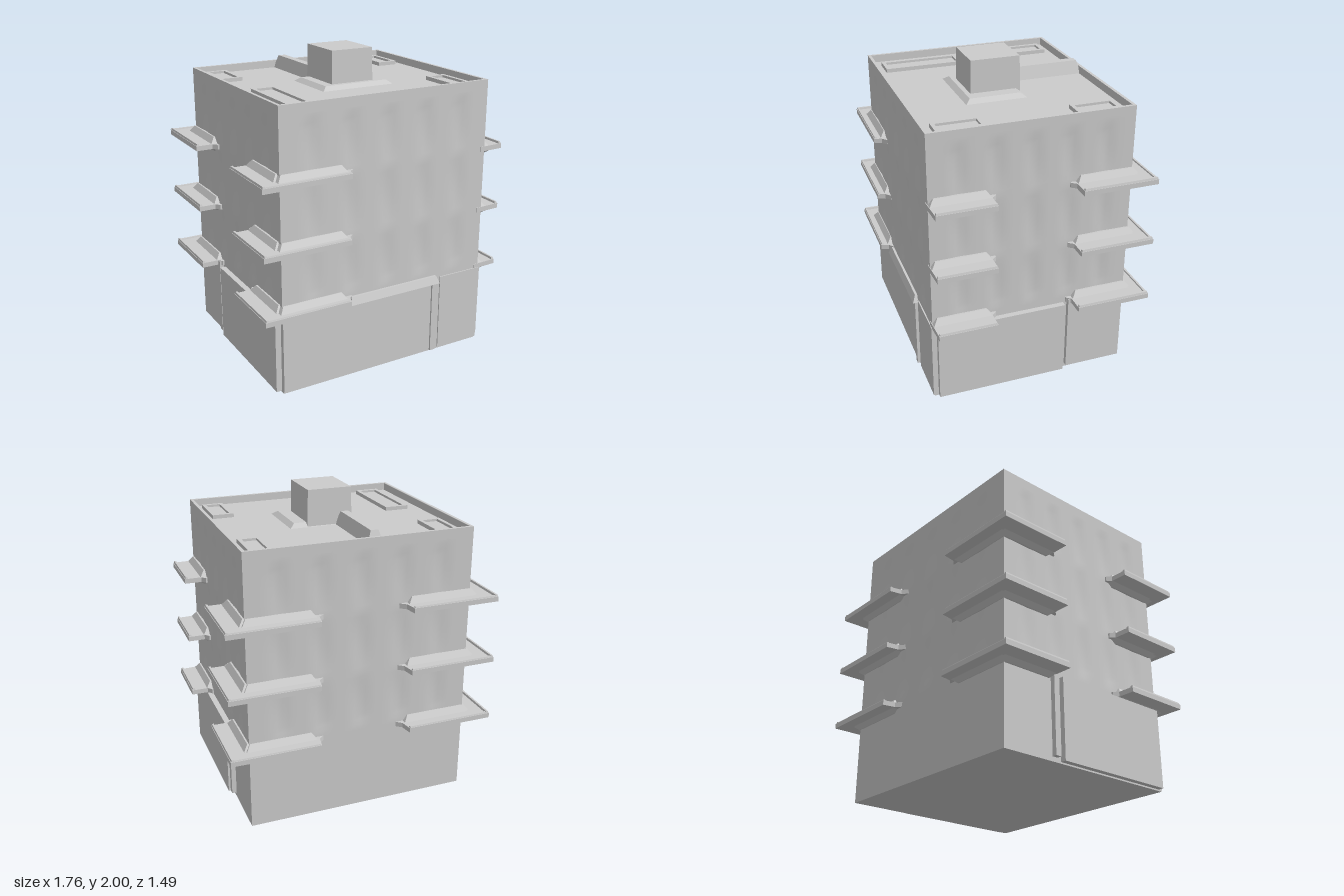
import * as THREE from 'three';

const grey = new THREE.MeshStandardMaterial({ color: 0xcccccc, side: THREE.DoubleSide });

function add(parent, name, geometry) {
  const mesh = new THREE.Mesh(geometry, grey);
  mesh.name = name;
  parent.add(mesh);
  return mesh;
}

// Box given by its extents, optionally narrowed towards the top by an inset
function block(parent, name, [x0, x1], [y0, y1], [z0, z1], inset = 0) {
  const w = x1 - x0, h = y1 - y0, d = z1 - z0;
  const g = new THREE.BoxGeometry(w, h, d);
  const p = g.attributes.position;
  for (let i = 0; i < p.count; i++) {
    if (p.getY(i) < 0) continue;
    p.setX(i, p.getX(i) - Math.sign(p.getX(i)) * inset);
    p.setZ(i, p.getZ(i) - Math.sign(p.getZ(i)) * inset);
  }
  g.computeVertexNormals();
  const mesh = add(parent, name, g);
  mesh.position.set((x0 + x1) / 2, (y0 + y1) / 2, (z0 + z1) / 2);
  return mesh;
}

// Horizontal plate from an outline of [x, z] points
function plate(parent, name, outline, y, height, hole) {
  const toV = ([x, z]) => new THREE.Vector2(x, -z);
  const shape = new THREE.Shape(outline.map(toV));
  if (hole) shape.holes.push(new THREE.Path(hole.map(toV)));
  const g = new THREE.ExtrudeGeometry(shape, { depth: height, bevelEnabled: false });
  g.rotateX(-Math.PI / 2);
  const mesh = add(parent, name, g);
  mesh.position.y = y;
  return mesh;
}

const rect = (x0, x1, z0, z1) => [[x0, z0], [x1, z0], [x1, z1], [x0, z1]];
const side = (s, a, b) => (s < 0 ? [-b, -a] : [a, b]);

// Walls with softly sunken window bays on the upper storeys
function wallGeometry() {
  const g = new THREE.BoxGeometry(1.47, 1.765, 1.295, 40, 48, 40);
  const p = g.attributes.position, n = g.attributes.normal;
  for (let i = 0; i < p.count; i++) {
    if (Math.abs(n.getY(i)) > 0.5) continue;
    const onSide = Math.abs(n.getX(i)) > 0.5;
    const u = onSide ? p.getZ(i) / 0.6475 : p.getX(i) / 0.735;
    const y = p.getY(i) + 0.8825;
    if (y < 0.6 || y > 1.7 || Math.abs(u) > 0.9) continue;
    const bay = Math.max(0, Math.cos(u * Math.PI * 5 / 0.9));
    const floor = Math.abs(Math.sin((y - 0.54) / 0.41 * Math.PI));
    const fade = Math.min(1, (0.9 - Math.abs(u)) * 6);
    const dent = -0.01 * bay * floor * fade;
    p.setX(i, p.getX(i) + n.getX(i) * dent);
    p.setZ(i, p.getZ(i) + n.getZ(i) * dent);
  }
  g.computeVertexNormals();
  g.translate(0, 0.8825, 0.0125);
  return g;
}

// L-shaped balcony around a corner, flaring where it meets the walls
function cornerOutline(sx, zOut, zIn) {
  const sz = Math.sign(zOut);
  const wall = sz > 0 ? 0.66 : -0.635;
  return [[sx * 0.88, zOut], [sx * 0.3, zOut], [sx * 0.285, wall + sz * 0.03], [sx * 0.25, wall],
    [sx * 0.25, wall - sz * 0.03], [sx * 0.7, wall - sz * 0.03], [sx * 0.7, zIn - sz * 0.03],
    [sx * 0.745, zIn - sz * 0.03], [sx * 0.77, zIn], [sx * 0.88, zIn]];
}

// Sloped fillets above and below a slab, along a wall
function fillets(parent, x, z) {
  block(parent, 'upperFillet', x, [0.03, 0.07], z, 0.03);
  block(parent, 'lowerFillet', x, [-0.025, 0], z, 0.03).rotation.x = Math.PI;
}

export function createModel() {
  const model = new THREE.Group();
  model.name = 'apartmentBuilding';

  add(model, 'walls', wallGeometry());

  // Ground floor cladding
  const ground = new THREE.Group();
  ground.name = 'groundFloor';
  model.add(ground);
  block(ground, 'frontPanel', [-0.735, 0.35], [0.01, 0.52], [0.6, 0.668]);
  block(ground, 'frontPillar', [0.42, 0.74], [0.01, 0.53], [0.6, 0.668]);
  block(ground, 'frontLintel', [-0.28, 0.4], [0.5, 0.55], [0.6, 0.695], 0.02);
  block(ground, 'frontJamb', [0.35, 0.39], [0.01, 0.51], [0.6, 0.68]);
  for (const s of [-1, 1]) {
    block(ground, 'sidePanel', side(s, 0.7, 0.772), [0.01, 0.52], [-0.21, 0.635]);
    block(ground, 'sidePilaster', side(s, 0.7, 0.765), [0.03, 0.55], [-0.275, -0.235]);
  }

  // Corner balconies on three storeys; the front right one has a side part only
  const outlines = [
    cornerOutline(-1, 0.74, 0.28),
    cornerOutline(-1, -0.745, -0.255),
    cornerOutline(1, -0.745, -0.255),
    [[0.88, 0.655], [0.7, 0.665], [0.7, 0.25], [0.745, 0.25], [0.77, 0.28], [0.88, 0.28]],
  ];
  for (const y of [0.525, 0.93, 1.345]) {
    const storey = new THREE.Group();
    storey.name = 'balconyStorey';
    storey.position.y = y;
    model.add(storey);
    for (const outline of outlines) plate(storey, 'balconySlab', outline, 0, 0.032);

    // Low kerbs on the outer edges, fillets along the walls
    for (const s of [-1, 1]) {
      const outer = side(s, 0.855, 0.88);
      block(storey, 'sideKerb', outer, [0.02, 0.045], [-0.745, -0.255], 0.006);
      block(storey, 'sideKerb', outer, [0.02, 0.045], [0.28, s < 0 ? 0.74 : 0.655], 0.006);
      block(storey, 'backKerb', side(s, 0.3, 0.88), [0.02, 0.04], [-0.745, -0.72], 0.006);
      fillets(storey, side(s, 0.69, 0.775), [-0.66, -0.26]);
      fillets(storey, side(s, 0.69, 0.775), [0.28, 0.66]);
      fillets(storey, side(s, 0.3, 0.76), [-0.67, -0.59]);
    }
    block(storey, 'frontKerb', [-0.88, -0.3], [0.02, 0.04], [0.715, 0.74], 0.006);
    fillets(storey, [-0.76, -0.3], [0.61, 0.695]);
  }

  // Roof with parapet
  const roof = new THREE.Group();
  roof.name = 'roof';
  model.add(roof);
  plate(roof, 'parapet', rect(-0.735, 0.735, -0.635, 0.66), 1.75, 0.065, rect(-0.715, 0.715, -0.615, 0.64));
  block(roof, 'stairHousing', [-0.14, 0.16], [1.75, 2.0], [-0.12, 0.21], 0.005);
  block(roof, 'housingBase', [-0.24, 0.28], [1.76, 1.79], [-0.13, 0.28], 0.04);
  block(roof, 'roofDuct', [-0.14, -0.03], [1.76, 1.85], [-0.63, -0.1], 0.03);

  // Raised frames around the skylights
  const skylights = [[-0.6, -0.43, 0.075, 0.14], [0.6, -0.43, 0.07, 0.14], [0.6, 0.43, 0.07, 0.15], [-0.55, 0.33, 0.08, 0.26]];
  for (const [x, z, w, d] of skylights) {
    plate(roof, 'skylightFrame', rect(x - w, x + w, z - d, z + d), 1.76, 0.03,
      rect(x - w + 0.025, x + w - 0.025, z - d + 0.025, z + d - 0.025));
    block(roof, 'skylightPane', [x - w + 0.02, x + w - 0.02], [1.76, 1.775], [z - d + 0.02, z + d - 0.02]);
  }

  return model;
}
